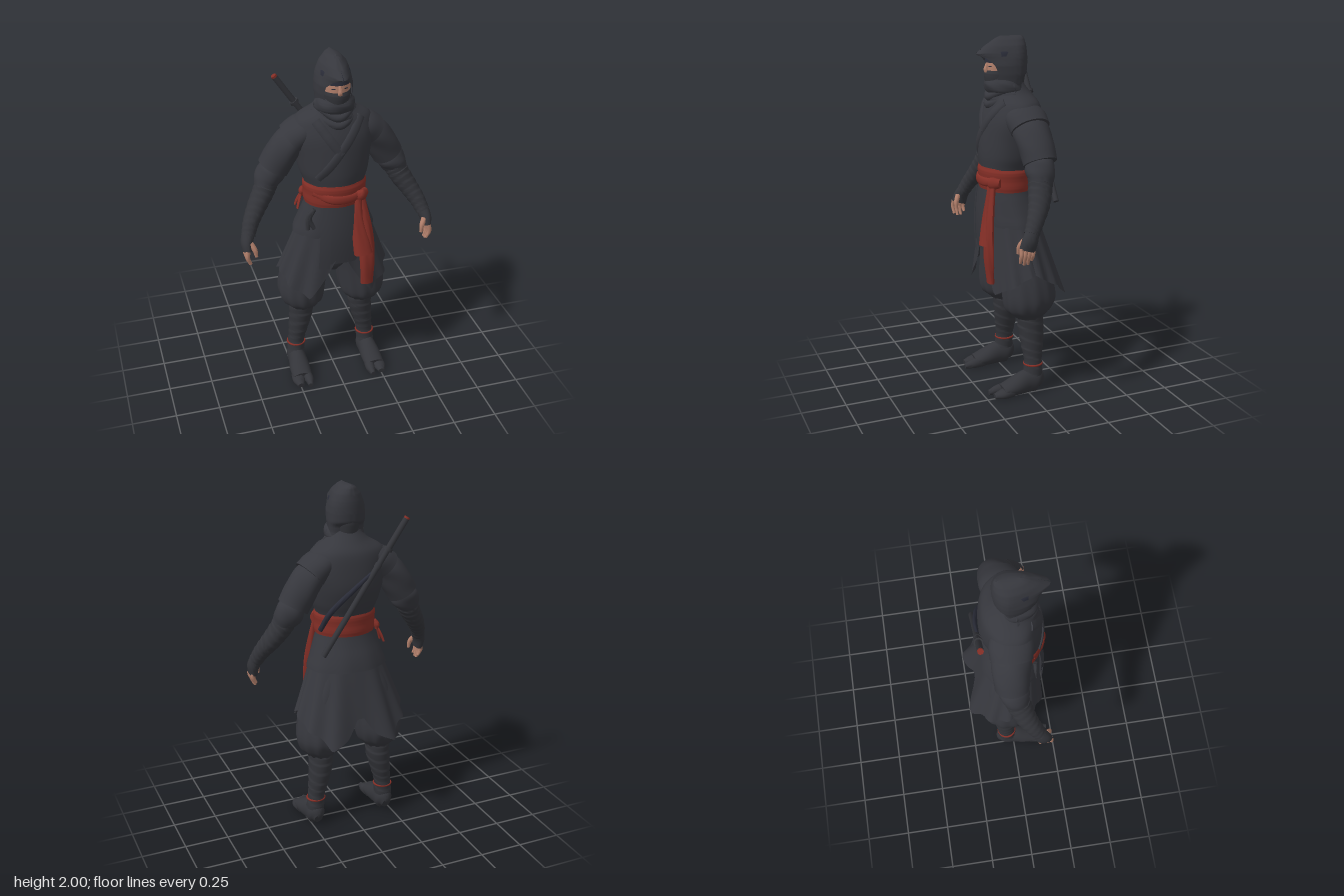
import * as THREE from 'three';
import { toCreasedNormals } from 'three/addons/utils/BufferGeometryUtils.js';

const mat = (name, color) => {
  const m = new THREE.MeshStandardMaterial({ color, side: THREE.DoubleSide });
  m.name = name;
  return m;
};

export function createModel() {
  const cloth = mat('charcoal cloth', 0x36373d);
  const dark = mat('dark wrap', 0x333439);
  const red = mat('red sash', 0x832e26);
  const skin = mat('skin', 0xb17f6b);
  const navy = mat('dark navy', 0x2a2c38);
  const model = new THREE.Group();
  const { sin, cos, PI } = Math;
  const Y = new THREE.Vector3(0, 1, 0), Z = new THREE.Vector3(0, 0, 1);

  const add = (name, geo, material) => {
    const m = new THREE.Mesh(geo, material);
    m.name = name;
    model.add(m);
    return m;
  };
  const build = (pos, idx, crease = 0.8) => {
    const g = new THREE.BufferGeometry();
    g.setAttribute('position', new THREE.Float32BufferAttribute(pos, 3));
    g.setIndex(idx);
    return toCreasedNormals(g, crease);
  };

  // Smooth body through oval sections [x, y, z, ra, rb]; level keeps sections horizontal (top to bottom)
  function loft(name, keys, material, { level = false, n = 28, steps = 5, ref = Z, ripple } = {}) {
    const path = new THREE.CatmullRomCurve3(keys.map(k => new THREE.Vector3(k[0], k[1], k[2])));
    const radii = new THREE.SplineCurve(keys.map(k => new THREE.Vector2(k[3], k[4])));
    const rows = (keys.length - 1) * steps, pos = [], idx = [];
    for (let i = 0; i <= rows; i++) {
      const t = i / rows, c = path.getPoint(t), r = radii.getPoint(t);
      const T = level ? new THREE.Vector3(0, -1, 0) : path.getTangent(t);
      const A = new THREE.Vector3().crossVectors(ref, T).normalize();
      const B = new THREE.Vector3().crossVectors(T, A);
      for (let j = 0; j < n; j++) {
        const a = j / n * 2 * PI, s = ripple ? ripple(a, t) : 1;
        const p = c.clone().addScaledVector(A, cos(a) * r.x * s).addScaledVector(B, sin(a) * r.y * s);
        pos.push(p.x, Math.max(0, p.y), p.z);
        const k = i * n + j, k1 = i * n + (j + 1) % n;
        if (i < rows) idx.push(k, k1, k + n, k1, k1 + n, k + n);
      }
    }
    const end = (rows + 1) * n;
    for (const t of [0, 1]) { const c = path.getPoint(t); pos.push(c.x, Math.max(0, c.y), c.z); }
    for (let j = 0; j < n; j++) {
      const j1 = (j + 1) % n, o = rows * n;
      idx.push(end, j1, j, end + 1, o + j, o + j1);
    }
    return add(name, build(pos, idx), material);
  }

  // Open sheet from f(u, v) -> [x, y, z]
  function sheet(name, nu, nv, f, material) {
    const pos = [], idx = [], w = nu + 1;
    for (let i = 0; i <= nv; i++) for (let j = 0; j <= nu; j++) {
      pos.push(...f(j / nu, i / nv));
      const k = i * w + j;
      if (i < nv && j < nu) idx.push(k, k + w, k + 1, k + 1, k + w, k + w + 1);
    }
    return add(name, build(pos, idx, 1.1), material);
  }
  // Linear lookup in rows sorted by their first value
  function lookup(table, x) {
    let i = 0;
    while (i < table.length - 2 && x > table[i + 1][0]) i++;
    const [p, q] = [table[i], table[i + 1]], k = Math.min(1, Math.max(0, (x - p[0]) / (q[0] - p[0])));
    return p.map((v, m) => v + (q[m] - v) * k);
  }
  function rod(name, a, b, r, material) {
    const p = new THREE.Vector3(...a), d = new THREE.Vector3(...b).sub(p);
    const m = add(name, new THREE.CylinderGeometry(r, r, d.length(), 14), material);
    m.position.copy(p).addScaledVector(d, 0.5);
    m.quaternion.setFromUnitVectors(Y, d.normalize());
    return m;
  }
  const wraps = count => (a, t) => 1.03 - 0.07 * ((t * count + 0.45 * sin(a) + 1) % 1);
  const folds = (count, amount) => (a, t) => 1 + amount * sin(a * count + 5 * t) * sin(PI * t);

  // Jacket body
  const torso = [[0, 1.76, 0.02, 0.075, 0.075], [0, 1.7, 0.01, 0.12, 0.108], [0, 1.645, 0, 0.205, 0.138],
    [0, 1.56, 0.005, 0.232, 0.16], [0, 1.45, 0.01, 0.212, 0.17], [0, 1.35, 0.025, 0.192, 0.16],
    [0, 1.28, 0.035, 0.168, 0.145], [0, 1.18, 0.04, 0.16, 0.135]];
  loft('jacket', torso, cloth, { level: true, n: 40, ripple: folds(7, 0.012) });
  // Crossed collar bands lying on the chest
  const chest = torso.map(([, y, z, a, b]) => [y, z, a, b]).reverse();
  const band = (name, x0, y0, x1, y1) => {
    const keys = [];
    for (let i = 0; i <= 6; i++) {
      const x = x0 + (x1 - x0) * i / 6, y = y0 + (y1 - y0) * i / 6, [, z, a, b] = lookup(chest, y);
      keys.push([x, y, z + b * Math.sqrt(Math.max(0, 1 - (x / a) ** 2)), 0.026, 0.009]);
    }
    loft(name, keys, cloth, { n: 10 });
  };
  band('collarUnder', -0.12, 1.66, 0, 1.48);
  band('collarOver', 0.13, 1.66, -0.12, 1.34);

  // Neck scarf: wrapped folds and two drooping ones at the throat
  loft('scarfUpper', [[0, 1.78, 0.05, 0.085, 0.09], [0, 1.75, 0.05, 0.104, 0.105], [0, 1.715, 0.04, 0.11, 0.11],
    [0, 1.68, 0.03, 0.095, 0.095]], cloth, { level: true, ripple: folds(5, 0.03) });
  loft('scarfLower', [[0, 1.72, 0.02, 0.1, 0.1], [0, 1.69, 0.016, 0.125, 0.118], [0, 1.655, 0.01, 0.14, 0.128],
    [0, 1.635, 0.01, 0.1, 0.11]], cloth, { level: true, ripple: folds(4, 0.035) });
  for (const [w, y, z] of [[0.1, 1.675, 0.13], [0.115, 1.632, 0.132]]) {
    loft('scarfDrape', [[-w, y + 0.06, 0.02, 0.014, 0.02], [-w * 0.65, y + 0.03, 0.095, 0.022, 0.022], [0, y, z, 0.026, 0.024],
      [w * 0.65, y + 0.03, 0.095, 0.022, 0.022], [w, y + 0.06, 0.02, 0.014, 0.02]], cloth, { n: 14, ref: Y });
  }

  // Head: brow band, eye strip, mask
  loft('browBand', [[0, 1.95, 0.03, 0.05, 0.08], [0, 1.92, 0.04, 0.078, 0.1], [0, 1.862, 0.04, 0.086, 0.112]], navy, { level: true });
  loft('face', [[0, 1.89, 0.04, 0.08, 0.1], [0, 1.85, 0.04, 0.083, 0.105], [0, 1.8, 0.04, 0.08, 0.107]], skin, { level: true });
  loft('mask', [[0, 1.82, 0.04, 0.083, 0.108], [0, 1.8, 0.04, 0.084, 0.117], [0, 1.75, 0.04, 0.077, 0.11],
    [0, 1.7, 0.04, 0.07, 0.1]], dark, { level: true });
  loft('nose', [[0, 1.86, 0.142, 0.008, 0.006], [0, 1.825, 0.148, 0.012, 0.014], [0, 1.81, 0.145, 0.014, 0.012]], skin, { n: 10 });
  for (const s of [-1, 1]) {
    const e = add('eye', new THREE.BoxGeometry(0.02, 0.004, 0.006), navy);
    e.position.set(s * 0.034, 1.842, 0.138);
    e.rotation.y = s * 0.35;
  }
  // Pointed hood, open at the face: [drop, half width, front z, back z, half gap, sharpness]
  const hoodRows = [[0, 0, 0.07, -0.06, 0, 1], [0.015, 0.04, 0.1, -0.072, 0, 1.1], [0.05, 0.073, 0.155, -0.08, 0, 1.4],
    [0.09, 0.09, 0.207, -0.084, 0.02, 1.7], [0.112, 0.096, 0.19, -0.084, 0.45, 1.5], [0.15, 0.101, 0.168, -0.083, 0.75, 1],
    [0.2, 0.102, 0.155, -0.078, 0.85, 1], [0.225, 0.099, 0.15, -0.05, 0.75, 1], [0.26, 0.096, 0.145, -0.042, 0.65, 1],
    [0.3, 0.1, 0.135, -0.05, 0.5, 1]];
  sheet('hood', 48, 40, (u, v) => {
    const [d, rx, zf, zb, gap, p] = lookup(hoodRows, v * 0.3);
    const a = PI / 2 + gap + u * 2 * (PI - gap), s = sin(a);
    return [rx * cos(a), 2 - d, s > 0 ? zf * s ** p : -zb * s];
  }, cloth);

  // Sash, knots and tails
  loft('sash', [[0, 1.295, 0.036, 0.168, 0.146], [0, 1.27, 0.036, 0.178, 0.153], [0, 1.23, 0.036, 0.175, 0.15],
    [0, 1.19, 0.036, 0.176, 0.151], [0, 1.165, 0.036, 0.172, 0.146]], red, { level: true, n: 40 });
  loft('sashFold', [[-0.14, 1.25, 0.12, 0.02, 0.008], [-0.05, 1.22, 0.184, 0.025, 0.01], [0.05, 1.215, 0.184, 0.025, 0.01],
    [0.12, 1.225, 0.15, 0.02, 0.015]], red, { n: 12 });
  loft('sashKnot', [[0.085, 1.235, 0.155, 0.015, 0.012], [0.115, 1.22, 0.165, 0.036, 0.024], [0.15, 1.22, 0.13, 0.025, 0.02]], red, { n: 14 });
  loft('sashTailShort', [[0.1, 1.2, 0.167, 0.02, 0.016], [0.1, 1.05, 0.183, 0.034, 0.022], [0.122, 0.87, 0.205, 0.054, 0.036]], red, { n: 20, ripple: folds(5, 0.12) });
  loft('sashTailLong', [[0.12, 1.2, 0.16, 0.022, 0.014], [0.14, 1.0, 0.188, 0.036, 0.02], [0.15, 0.82, 0.197, 0.042, 0.026],
    [0.15, 0.66, 0.19, 0.036, 0.018]], red, { n: 20, ripple: folds(5, 0.12) });
  loft('sideKnot', [[-0.158, 1.215, -0.03, 0.01, 0.015], [-0.168, 1.19, -0.035, 0.016, 0.024], [-0.17, 1.16, -0.035, 0.01, 0.015]], red, { n: 12 });
  for (const dz of [-0.02, 0.015]) {
    loft('sideKnotTail', [[-0.17, 1.18, -0.035, 0.006, 0.01], [-0.188, 1.13, -0.035 + dz, 0.006, 0.015], [-0.2, 1.09, -0.035 + dz * 1.6, 0.005, 0.013]], red, { n: 10 });
  }

  // Jacket tail, skirt panels and apron
  loft('jacketTail', [[0, 1.18, 0.038, 0.162, 0.136], [0, 1.12, 0.03, 0.182, 0.146], [0, 1.04, 0.015, 0.21, 0.162],
    [0, 0.97, 0.005, 0.234, 0.17]], cloth, { level: true, n: 40, ripple: (a, t) => 1 + 0.015 * t * sin(9 * a) });
  const hemFront = [[-0.1, 0.74], [0.2, 0.71], [1.06, 0.595], [1.47, 0.84]];
  const hemBack = [[-0.1, 0.74], [0.45, 0.66], [0.75, 0.63], [1.05, 0.55], [1.3, 0.6], [1.5, 0.7], [1.6, 0.7]];
  for (const s of [-1, 1]) {
    for (const [name, hem, dir] of [['skirtFront', hemFront, 1], ['skirtBack', hemBack, -1]]) {
      sheet(name, 48, 12, (u, v) => {
        const b = hem[0][0] + u * (hem[hem.length - 1][0] - hem[0][0]);
        const y = 1.12 + (lookup(hem, b)[1] - 1.12) * v, t = (1.12 - y) / 0.52;
        // Pleats deepen toward the hem; the back dips in along its centre
        const f = 1 + 0.04 * t * sin(b * 13) - (dir < 0 ? 0.2 * t * Math.abs(sin(b)) ** 40 : 0);
        return [s * (0.17 + 0.185 * t) * f * cos(b), y, 0.035 - 0.065 * t + dir * (0.13 + 0.1 * t) * f * sin(b)];
      }, cloth);
    }
  }
  const apron = (name, x0, x1, y0, z) => sheet(name, 10, 8, (u, v) => {
    const x = x0 + (x1 - x0) * u;
    return [x * (1 + 0.12 * v), 1.17 + (y0 - 1.17) * v, z + 0.012 * sin(PI * v) - 2 * x * x * (1 - 0.3 * v)];
  }, cloth);
  apron('apron', -0.1, 0.085, 0.81, 0.182);
  apron('apronSide', -0.115, -0.06, 0.785, 0.192);
  // Cord knot at the right hip
  for (const k of [0, 1]) {
    loft('cordEnd', [[-0.14, 1.15, 0.13, 0.012, 0.012], [-0.17, 1.11 - k * 0.02, 0.13, 0.016, 0.01],
      [-0.18 + k * 0.04, 1.03, 0.135, 0.012, 0.006]], dark, { n: 10 });
  }
  // Trouser seat between the legs
  loft('trouserSeat', [[0, 1.0, 0, 0.12, 0.11], [0, 0.85, -0.01, 0.11, 0.125], [0, 0.74, -0.015, 0.08, 0.11],
    [0, 0.68, -0.02, 0.04, 0.06]], cloth, { level: true });

  // Arms and legs, mirrored
  for (const s of [-1, 1]) {
    const limb = (name, keys, material, opt) => loft(name, keys.map(([x, ...k]) => [s * x, ...k]), material, opt);
    limb('shoulderCap', [[0.1, 1.615, -0.005, 0.055, 0.1], [0.17, 1.575, -0.01, 0.078, 0.118], [0.225, 1.525, -0.016, 0.088, 0.112]], cloth);
    limb('sleeve', [[0.18, 1.55, -0.01, 0.07, 0.1], [0.235, 1.505, -0.018, 0.085, 0.104], [0.285, 1.435, -0.025, 0.09, 0.1],
      [0.328, 1.36, -0.028, 0.088, 0.092]], cloth, { ripple: folds(4, 0.03) });
    limb('sleeveCuff', [[0.31, 1.38, -0.025, 0.06, 0.07], [0.338, 1.34, -0.022, 0.078, 0.08], [0.365, 1.3, -0.015, 0.073, 0.075],
      [0.385, 1.26, -0.005, 0.058, 0.062]], cloth, { ripple: folds(3, 0.05) });
    limb('forearmWrap', [[0.36, 1.3, -0.015, 0.062, 0.068], [0.39, 1.24, 0, 0.06, 0.066], [0.44, 1.16, 0.03, 0.053, 0.058],
      [0.482, 1.09, 0.068, 0.045, 0.047], [0.507, 1.03, 0.1, 0.039, 0.041]], dark, { steps: 12, ripple: wraps(9) });
    limb('glove', [[0.503, 1.045, 0.092, 0.036, 0.037], [0.519, 0.995, 0.115, 0.033, 0.044], [0.52, 0.95, 0.13, 0.026, 0.045]], dark);
    for (let i = 0; i < 4; i++) {
      const z = 0.098 + i * 0.021, tip = 0.872 + (i === 0 ? 0.02 : i === 3 ? 0.012 : 0);
      limb('finger', [[0.522, 0.965, z, 0.014, 0.013], [0.527, 0.925, z + 0.004, 0.013, 0.012], [0.51, tip, z + 0.003, 0.008, 0.008]], skin, { n: 10 });
    }
    limb('thumb', [[0.503, 1.0, 0.14, 0.016, 0.016], [0.484, 0.965, 0.158, 0.014, 0.014], [0.477, 0.925, 0.163, 0.009, 0.009]], skin, { n: 10 });

    limb('trouserLeg', [[0.085, 1.0, 0, 0.1, 0.11], [0.125, 0.85, -0.01, 0.125, 0.135], [0.163, 0.7, -0.02, 0.135, 0.143],
      [0.181, 0.56, -0.03, 0.135, 0.15], [0.18, 0.49, -0.025, 0.115, 0.128], [0.18, 0.44, -0.03, 0.07, 0.078]], cloth,
      { level: true, n: 60, ripple: (a, t) => 1 + 0.04 * t * sin(11 * a + 2 * t) });
    limb('calfWrap', [[0.18, 0.47, -0.035, 0.07, 0.076], [0.183, 0.38, -0.04, 0.07, 0.075], [0.2, 0.27, -0.042, 0.058, 0.064],
      [0.213, 0.19, -0.042, 0.049, 0.053], [0.22, 0.1, -0.038, 0.053, 0.056]], dark, { level: true, steps: 12, ripple: wraps(7) });
    const cord = add('ankleCord', new THREE.TorusGeometry(0.051, 0.006, 8, 28), red);
    cord.position.set(s * 0.216, 0.165, -0.041);
    cord.rotation.x = PI / 2;
    // Split-toe shoe
    limb('shoe', [[0.22, 0.045, -0.092, 0.025, 0.035], [0.22, 0.06, -0.06, 0.05, 0.07], [0.221, 0.06, 0, 0.053, 0.07],
      [0.224, 0.045, 0.07, 0.06, 0.055], [0.226, 0.028, 0.15, 0.058, 0.035]], dark, { ref: Y });
    limb('bigToe', [[0.198, 0.028, 0.1, 0.028, 0.035], [0.192, 0.022, 0.17, 0.027, 0.029], [0.194, 0.015, 0.222, 0.014, 0.016]], dark, { ref: Y, n: 16 });
    limb('outerToes', [[0.246, 0.026, 0.1, 0.038, 0.034], [0.252, 0.02, 0.16, 0.037, 0.027], [0.25, 0.014, 0.207, 0.02, 0.016]], dark, { ref: Y, n: 16 });
  }

  // Sword slung across the back, hilt over the right shoulder
  const at = t => [-0.275 + 0.49 * t, 1.825 - 0.72 * t, -0.176];
  rod('scabbard', at(0.23), at(1), 0.016, dark);
  rod('swordGrip', at(0.01), at(0.22), 0.017, dark);
  rod('pommel', at(-0.003), at(0.01), 0.016, red);
  rod('swordGuard', at(0.215), at(0.235), 0.025, dark);
  rod('scabbardCollar', at(0.33), at(0.36), 0.019, dark);
  loft('backCord', [[-0.1, 1.56, -0.17, 0.008, 0.008], [0.03, 1.46, -0.172, 0.014, 0.012], [0.15, 1.34, -0.14, 0.016, 0.014],
    [0.19, 1.22, -0.075, 0.014, 0.014]], navy, { n: 12 });

  return model;
}
